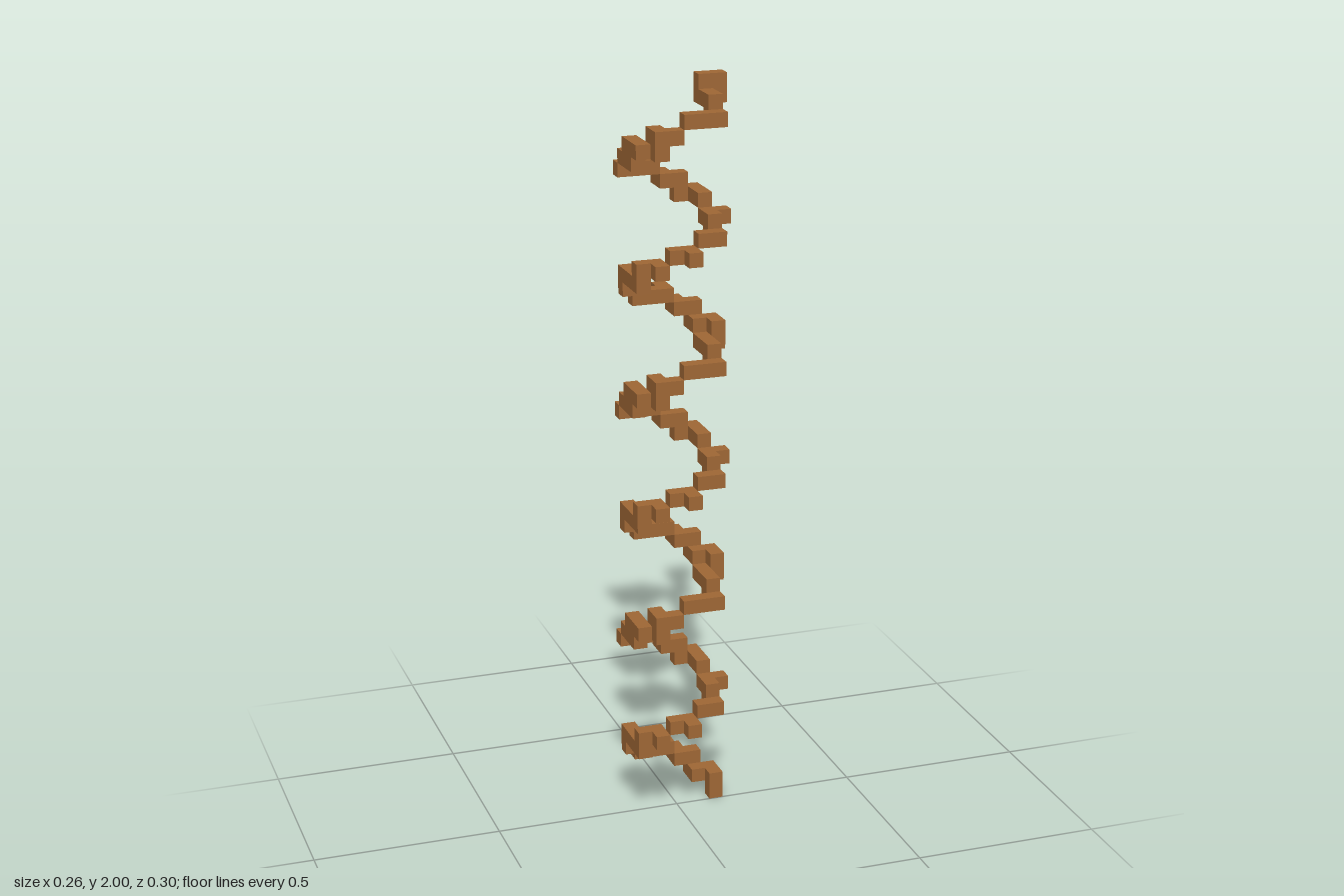
import * as THREE from 'three';
import { mergeGeometries } from 'three/addons/utils/BufferGeometryUtils.js';

const LAYERS = 53;
const S = 2 / LAYERS; // block size

// Blocks [x, z] of each layer; the stair repeats after two turns (17 layers)
const TURN = [
  [[2, 1], [2, 0], [2, -1], [3, -1]],
  [[3, -1], [3, -2], [2, -2], [2, -3]],
  [[2, -3], [1, -3], [1, -4]],
  [[0, -4], [0, -3], [-1, -3], [-2, -3]],
  [[-2, -3], [-2, -2], [-3, -2]],
  [[-3, -2], [-3, -1], [-3, 0], [-3, 1]],
  [[-3, 1], [-2, 1], [-2, 2]],
  [[-1, 2], [0, 2], [0, 3]],
  [[1, 2], [2, 2], [2, 1]],
  [[2, 1], [2, 0], [3, 0]],
  [[2, -1], [2, -2], [2, -3], [1, -3]],
  [[1, -3], [0, -3], [0, -4]],
  [[-1, -3], [-2, -3], [-3, -3]],
  [[-3, -2], [-3, -1], [-3, 0]],
  [[-3, -1], [-3, 0], [-3, 1], [-2, 1], [-2, 2]],
  [[-2, 1], [-2, 2], [-1, 2]],
  [[0, 2], [1, 2], [2, 2], [2, 1]],
];

function layerCells(j) {
  if (j === 0) return [[3, -1]]; // bottom end
  if (j === LAYERS - 1) return [[2, -1], [3, -1]]; // top end
  return TURN[j % TURN.length];
}

// One square face of a block, for each direction
const FACES = [
  [1, 0, 0], [-1, 0, 0], [0, 1, 0], [0, -1, 0], [0, 0, 1], [0, 0, -1],
].map(([x, y, z]) => {
  const geo = new THREE.PlaneGeometry(S, S).translate(0, 0, S / 2);
  if (x) geo.rotateY(x * Math.PI / 2);
  else if (y) geo.rotateX(-y * Math.PI / 2);
  else if (z < 0) geo.rotateY(Math.PI);
  return { dir: [x, y, z], geo };
});

export function createModel() {
  const group = new THREE.Group();
  group.name = 'blockSpiral';
  const wood = new THREE.MeshStandardMaterial({ color: 0x9f6735 });
  wood.name = 'brown';

  const filled = new Set();
  for (let j = 0; j < LAYERS; j++)
    for (const [x, z] of layerCells(j)) filled.add(`${x},${j},${z}`);

  // Only faces that are not covered by a neighbouring block
  const parts = [];
  for (const key of filled) {
    const [x, y, z] = key.split(',').map(Number);
    for (const { dir: [dx, dy, dz], geo } of FACES) {
      if (filled.has(`${x + dx},${y + dy},${z + dz}`)) continue;
      parts.push(geo.clone().translate(x * S, (y + 0.5) * S, (z + 0.5) * S));
    }
  }

  const spiral = new THREE.Mesh(mergeGeometries(parts), wood);
  spiral.name = 'spiralStrand';
  group.add(spiral);
  return group;
}
